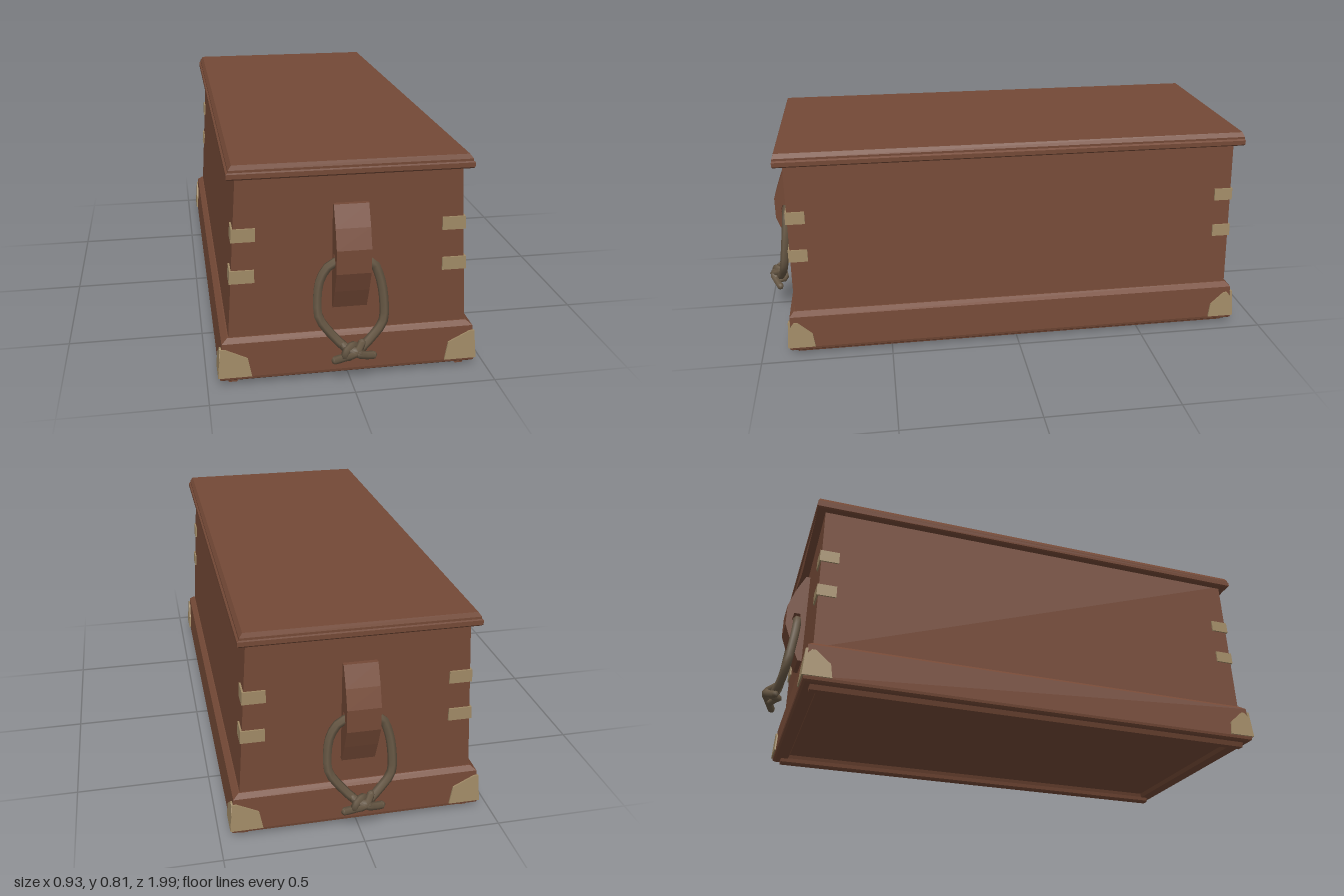
import * as THREE from 'three';

const wood = new THREE.MeshStandardMaterial({ color: 0x744936 });
wood.name = 'brown wood';
const brass = new THREE.MeshStandardMaterial({ color: 0xa08a66 });
brass.name = 'dull brass';
const rope = new THREE.MeshStandardMaterial({ color: 0x655643 });
rope.name = 'grey rope';

const BODY_Z = 0.866;
const bodyX = (y) => 0.422 - (y - 0.17) * 0.064;   // slanted long walls
const plinthX = (y) => 0.457 - (y - 0.03) * 0.08;
const plinthZ = (y) => 0.894 - (y - 0.03) * 0.06;

function add(group, name, geometry, material) {
  const mesh = new THREE.Mesh(geometry, material);
  mesh.name = name;
  group.add(mesh);
  return mesh;
}

// Stack of rectangular sections [y, halfX, halfZ], capped, with sharp edges
function loft(sections) {
  const pos = [];
  const ring = ([y, x, z]) => [[-x, y, z], [x, y, z], [x, y, -z], [-x, y, -z]];
  const quad = (a, b, c, d) => pos.push(...a, ...b, ...c, ...a, ...c, ...d);
  const rings = sections.map(ring);
  for (let i = 0; i < rings.length - 1; i++) {
    for (let k = 0; k < 4; k++) {
      const n = (k + 1) % 4;
      quad(rings[i][k], rings[i][n], rings[i + 1][n], rings[i + 1][k]);
    }
  }
  const top = rings[rings.length - 1], low = rings[0];
  quad(top[0], top[1], top[2], top[3]);
  quad(low[3], low[2], low[1], low[0]);
  const geo = new THREE.BufferGeometry();
  geo.setAttribute('position', new THREE.Float32BufferAttribute(pos, 3));
  geo.computeVertexNormals();
  return geo;
}

function extrude(points, depth, holes = []) {
  const shape = new THREE.Shape(points.map((p) => new THREE.Vector2(...p)));
  for (const h of holes) shape.holes.push(new THREE.Path(h.map((p) => new THREE.Vector2(...p))));
  return new THREE.ExtrudeGeometry(shape, { depth, bevelEnabled: false });
}

// Thin plate on a wall whose distance from the centre depends on height
function plate(points, wallAt, onLongSide, sign) {
  const geo = extrude(points, 0.009);
  const p = geo.attributes.position;
  for (let i = 0; i < p.count; i++) p.setZ(i, p.getZ(i) - 0.003 + wallAt(p.getY(i)));
  if (onLongSide) geo.rotateY(sign * Math.PI / 2);
  else if (sign < 0) geo.rotateY(Math.PI);
  geo.computeVertexNormals();
  return geo;
}

function ropeTube(points, radius, steps) {
  const curve = new THREE.CatmullRomCurve3(points.map((p) => new THREE.Vector3(...p)));
  return new THREE.TubeGeometry(curve, steps, radius, 6, false);
}

function createHandle() {
  const handle = new THREE.Group();
  handle.name = 'handle';

  // Arched wooden cleat with a bore for the rope; drawn in (-z, y), extruded along x
  const cleat = extrude(
    [[-0.86, 0.648], [-0.882, 0.648], [-0.918, 0.575], [-0.943, 0.505], [-0.943, 0.42],
      [-0.915, 0.345], [-0.882, 0.27], [-0.86, 0.27]],
    0.12,
    [[[-0.884, 0.435], [-0.902, 0.425], [-0.92, 0.445], [-0.914, 0.475], [-0.89, 0.475]]],
  );
  cleat.translate(0, 0, -0.06).rotateY(Math.PI / 2);
  add(handle, 'cleat', cleat, wood);

  // Hanging loop
  add(handle, 'ropeLoop', ropeTube([
    [0.01, 0.128, 0.957], [0.06, 0.168, 0.938], [0.108, 0.225, 0.924], [0.112, 0.3, 0.914],
    [0.098, 0.385, 0.904], [0.07, 0.442, 0.9], [0, 0.452, 0.9], [-0.07, 0.442, 0.9],
    [-0.108, 0.39, 0.904], [-0.12, 0.3, 0.914], [-0.115, 0.255, 0.922], [-0.065, 0.185, 0.936],
    [-0.01, 0.132, 0.955],
  ], 0.0165, 30), rope);

  // Knot: a crossed turn and two loose ends
  const turn = new THREE.TorusGeometry(0.026, 0.014, 6, 9);
  const knot = add(handle, 'knotTurn', turn, rope);
  knot.position.set(-0.012, 0.138, 0.96);
  knot.rotation.set(0.3, 0.6, 0.2);
  const second = add(handle, 'knotCross', turn, rope);
  second.position.set(0.004, 0.135, 0.957);
  second.rotation.set(1.1, -0.5, 0.4);
  const ends = [
    [[-0.035, 0.16, 0.955], [0.005, 0.14, 0.982], [0.035, 0.125, 0.97], [0.07, 0.112, 0.952]],
    [[0.03, 0.162, 0.95], [0.002, 0.142, 0.983], [-0.03, 0.122, 0.968], [-0.062, 0.102, 0.95]],
  ];
  for (const points of ends) {
    const end = add(handle, 'ropeEnd', ropeTube(points, 0.0145, 8), rope);
    end.material = rope;
    // Closed cut at each end of the strand
    for (const i of [0, 3]) {
      const cap = add(handle, 'ropeTip', new THREE.SphereGeometry(0.0145, 6, 4), rope);
      cap.position.set(...points[i]);
    }
  }
  return handle;
}

export function createModel() {
  const chest = new THREE.Group();
  chest.name = 'chest';

  add(chest, 'body', loft([[0.16, bodyX(0.16), BODY_Z], [0.765, bodyX(0.765), BODY_Z]]), wood);

  // Plinth with a chamfered top, a bottom bead and a recessed underside
  add(chest, 'plinth', loft([
    [0.034, 0.385, 0.83], [0.018, 0.392, 0.837], [0.018, 0.447, 0.884], [0.024, 0.455, 0.892],
    [0.034, 0.457, 0.894], [0.16, plinthX(0.16), plinthZ(0.16)], [0.176, 0.426, 0.87],
  ]), wood);

  // Moulded lid
  add(chest, 'lid', loft([
    [0.755, 0.39, 0.87], [0.755, 0.41, 0.897], [0.76, 0.415, 0.901], [0.776, 0.415, 0.901],
    [0.781, 0.408, 0.899], [0.789, 0.408, 0.899], [0.805, 0.396, 0.893],
  ]), wood);

  for (const s of [-1, 1]) {
    // Runner under each long side
    const runner = extrude([[0.392, 0.005], [0.397, 0], [0.424, 0], [0.431, 0.02], [0.388, 0.02]]
      .map(([x, y]) => [x * s, y]), 1.73);
    runner.translate(0, 0, -0.865);
    add(chest, 'runner', runner, wood);

    // Pointed end board hanging from the lid
    const gable = extrude([[-0.39, 0.758], [-0.02, 0.693], [0.02, 0.693], [0.39, 0.758]], 0.035);
    gable.translate(0, 0, 0.861);
    if (s < 0) gable.rotateY(Math.PI);
    add(chest, 'lidGable', gable, wood);

    const handle = createHandle();
    if (s < 0) handle.rotation.y = Math.PI;
    chest.add(handle);

    for (const m of [-1, 1]) {
      const flip = (points) => points.map(([u, y]) => [u * m, y]);

      // Corner straps, an end leaf and a side leaf each
      for (const [y0, y1, inner] of [[0.378, 0.425, 0.328], [0.528, 0.575, 0.322]]) {
        const x0 = bodyX(y0) + 0.006, x1 = bodyX(y1) + 0.006, z = BODY_Z + 0.006;
        add(chest, 'strapEnd', plate(flip([[inner, y0], [x0, y0], [x1, y1], [inner, y1]]),
          () => BODY_Z, false, s), brass);
        add(chest, 'strapSide', plate(flip([[0.8, y0], [z, y0], [z, y1], [0.8, y1]]),
          bodyX, true, s), brass);
      }

      // Corner guards on the plinth
      add(chest, 'cornerGuardEnd', plate(flip([[0.345, 0.036], [0.462, 0.036], [0.453, 0.142],
        [0.437, 0.142], [0.358, 0.104]]), plinthZ, false, s), brass);
      add(chest, 'cornerGuardSide', plate(flip([[0.795, 0.036], [0.899, 0.036], [0.892, 0.112],
        [0.872, 0.138], [0.858, 0.138], [0.803, 0.09]]), plinthX, true, s), brass);
    }
  }
  return chest;
}
